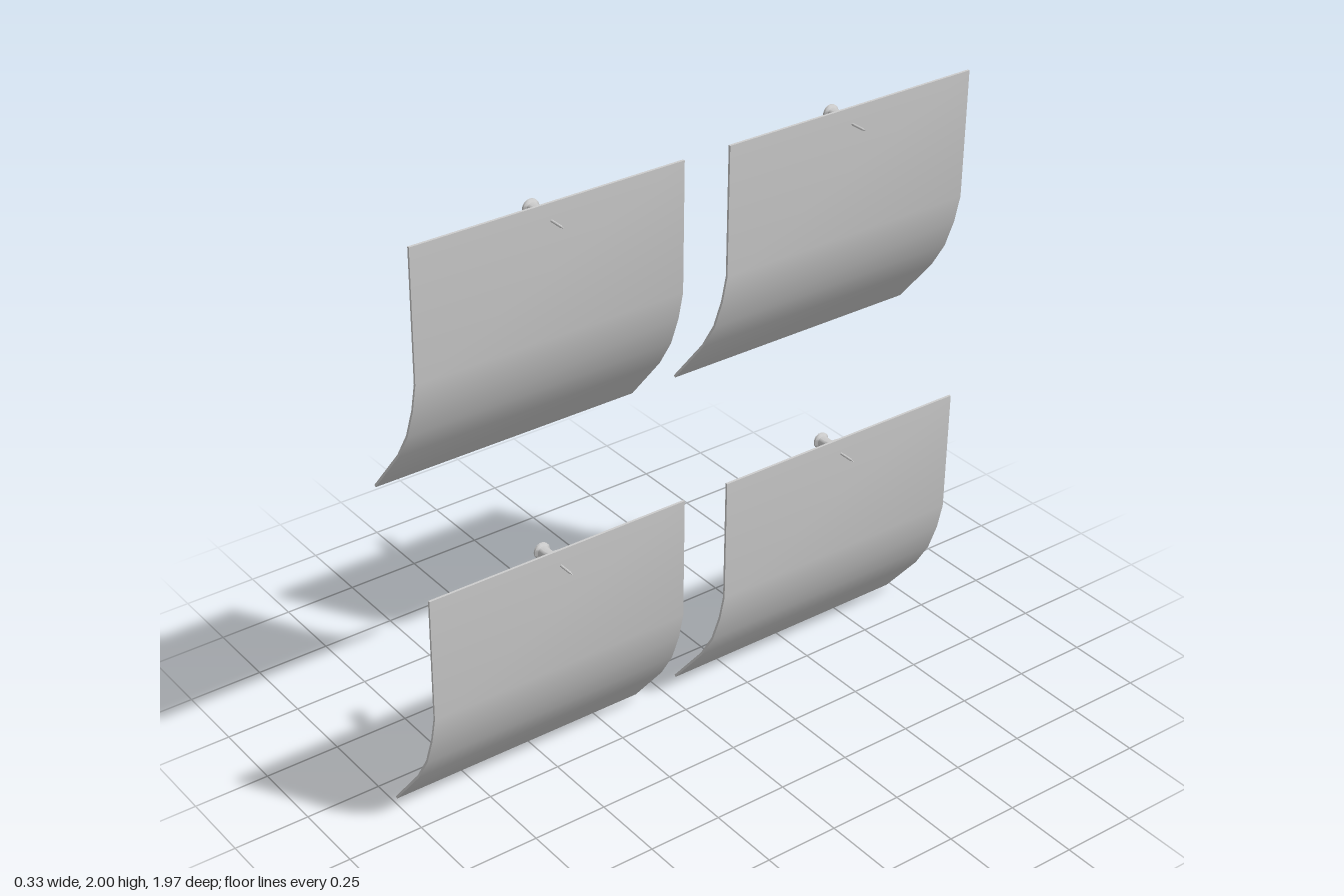
import * as THREE from 'three';
import { toCreasedNormals } from 'three/addons/utils/BufferGeometryUtils.js';

const WIDTH = 0.905, THICK = 0.008;

// Curled sheet: a centre line thickened into a thin section, extruded along z
function sheetGeometry() {
  const line = [
    [0.098, 0.874], [0.09, 0.453], [0.068, 0.36], [0.031, 0.262], [-0.025, 0.172], [-0.167, 0.003],
  ].map(([x, y]) => new THREE.Vector2(x, y));
  const offset = (d) => line.map((p, i) => {
    const t = line[Math.min(i + 1, line.length - 1)].clone().sub(line[Math.max(i - 1, 0)]).normalize();
    return new THREE.Vector2(p.x - t.y * d, p.y + t.x * d);
  });
  const shape = new THREE.Shape([...offset(THICK / 2), ...offset(-THICK / 2).reverse()]);
  const geo = new THREE.ExtrudeGeometry(shape, { depth: WIDTH, bevelEnabled: false });
  geo.translate(0, 0, -WIDTH / 2);
  return toCreasedNormals(geo, 0.6);
}

// Turned part lying along +x; profile points are [radius, x]
function turned(profile, sides) {
  const geo = new THREE.LatheGeometry(profile.map(([r, x]) => new THREE.Vector2(r, x)), sides);
  geo.rotateZ(-Math.PI / 2);
  return toCreasedNormals(geo, 0.6);
}

export function createModel() {
  const model = new THREE.Group();
  model.name = 'pinnedNotes';
  const material = new THREE.MeshStandardMaterial({ color: 0xcccccc });

  const sheet = sheetGeometry();
  const handle = turned([
    [0, -0.006], [0.024, -0.006], [0.027, -0.003], [0.027, 0.003], [0.02, 0.009], [0.019, 0.03],
    [0.021, 0.058], [0.031, 0.061], [0.036, 0.067], [0.036, 0.08], [0.03, 0.087], [0.024, 0.094], [0, 0.094],
  ], 24);
  const needle = turned([[0, 0.09], [0.004, 0.09], [0.004, 0.145], [0, 0.162]], 10);

  const add = (parent, geo, name) => {
    const mesh = new THREE.Mesh(geo, material);
    mesh.name = name;
    parent.add(mesh);
    return mesh;
  };

  // Two rows of two notes, each held by a push pin near its top edge
  for (const y of [0, 1.126]) {
    for (const z of [-0.533, 0.533]) {
      const note = new THREE.Group();
      note.name = `${y ? 'upper' : 'lower'}${z > 0 ? 'Front' : 'Back'}Note`;
      note.position.set(0, y, z);
      add(note, sheet, 'sheet');
      const pin = new THREE.Group();
      pin.name = 'pushPin';
      pin.position.y = 0.819;
      add(pin, handle, 'pinHandle');
      add(pin, needle, 'pinNeedle');
      note.add(pin);
      model.add(note);
    }
  }
  return model;
}
